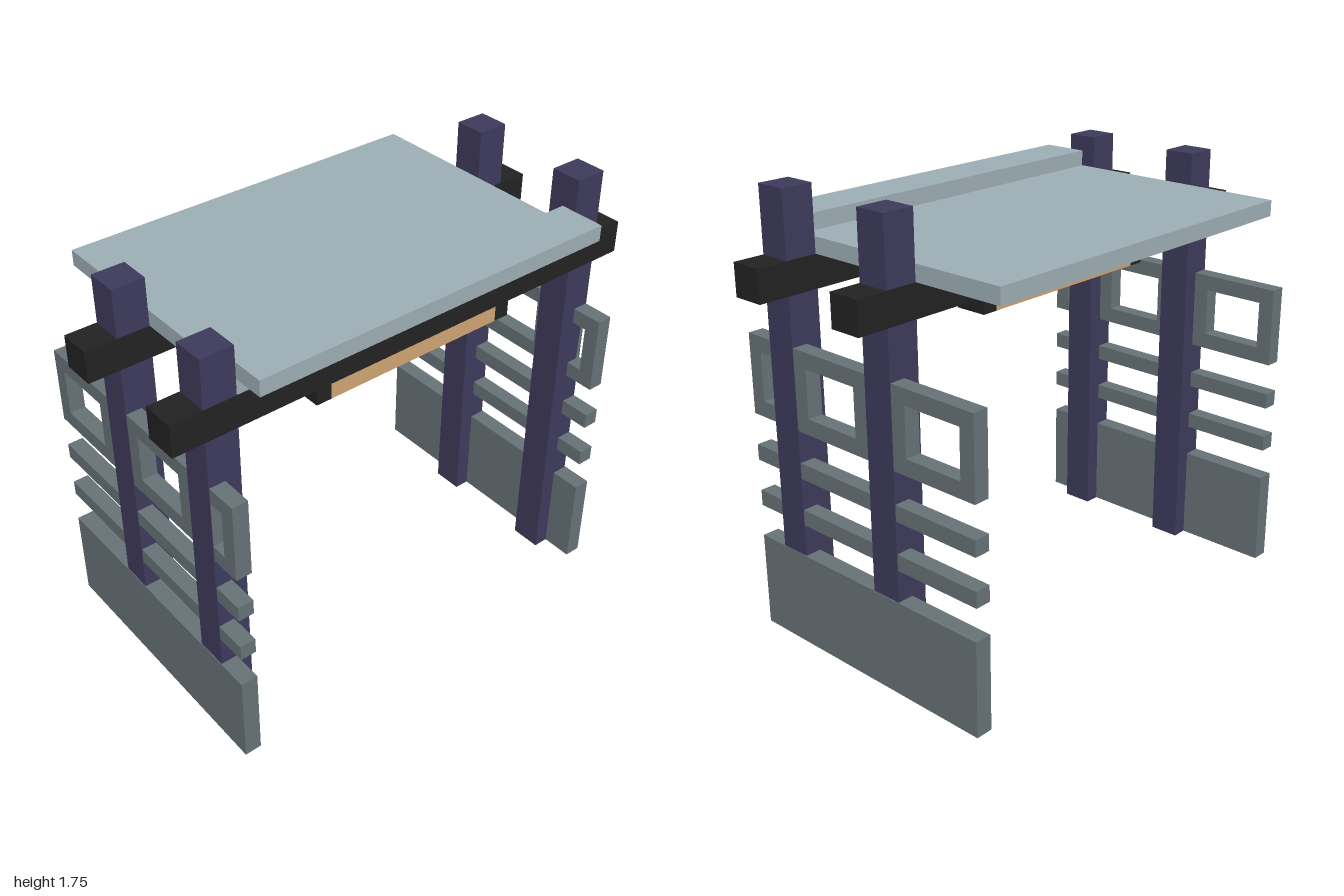
import * as THREE from 'three';

const mat = (name, color) => {
  const m = new THREE.MeshStandardMaterial({ color });
  m.name = name;
  return m;
};

export function createModel() {
  const postWood = mat('purple post', 0x3d3a5b);
  const panelGrey = mat('dark grey panel', 0x667176);
  const roofGrey = mat('pale blue grey roof', 0x9cadb4);
  const black = mat('black beam', 0x222222);
  const tan = mat('tan lamp', 0xcda472);

  const model = new THREE.Group();
  model.name = 'shelter';

  // Box given by its limits on each axis
  const box = (parent, name, material, x0, x1, y0, y1, z0, z1) => {
    const mesh = new THREE.Mesh(new THREE.BoxGeometry(x1 - x0, y1 - y0, z1 - z0), material);
    mesh.position.set((x0 + x1) / 2, (y0 + y1) / 2, (z0 + z1) / 2);
    mesh.name = name;
    parent.add(mesh);
  };

  const postCentres = [-0.125, 0.375];
  const half = 0.5625;

  // Window frame strip with three rectangular openings
  const rect = (path, x0, x1, y0, y1) =>
    path.moveTo(x0, y0).lineTo(x1, y0).lineTo(x1, y1).lineTo(x0, y1).closePath();
  const frameShape = rect(new THREE.Shape(), -half, half, 0.875, 1.1875);
  for (const [x0, x1] of [[-0.5, -0.25], [0, 0.25], [0.4375, 0.5]]) {
    frameShape.holes.push(rect(new THREE.Path(), x0, x1, 0.9375, 1.125));
  }
  const frameGeometry = new THREE.ExtrudeGeometry(frameShape, { depth: 0.0625, bevelEnabled: false });

  // End walls: posts, base panel, slats and window frame
  for (const side of [1, -1]) {
    const wall = new THREE.Group();
    wall.name = side > 0 ? 'frontWall' : 'backWall';
    const span = (a, b) => (side > 0 ? [a, b] : [-b, -a]);
    for (const x of postCentres) {
      box(wall, 'post', postWood, x - 0.0625, x + 0.0625, 0, side > 0 ? 1.6875 : 1.75, ...span(0.75, 0.877));
    }
    box(wall, 'basePanel', panelGrey, -half, half, 0, 0.375, ...span(0.8125, 0.88));
    for (const y of [0.5, 0.6875]) {
      box(wall, 'slat', panelGrey, -half, half, y, y + 0.0625, ...span(0.8125, 0.875));
    }
    const frame = new THREE.Mesh(frameGeometry, panelGrey);
    frame.name = 'windowFrame';
    frame.position.z = span(0.8125, 0.875)[0];
    wall.add(frame);
    model.add(wall);
  }

  // Long beams with a lamp and its end caps underneath
  for (const x of postCentres) {
    const beam = new THREE.Group();
    beam.name = 'beamWithLamp';
    const w = 0.0645;
    box(beam, 'beam', black, x - w, x + w, 1.375, 1.5, -1, 1);
    box(beam, 'lamp', tan, x - 0.0625, x + 0.0625, 1.3125, 1.375, -0.375, 0.375);
    for (const z of [-0.4375, 0.375]) {
      box(beam, 'lampCap', black, x - 0.0625, x + 0.0625, 1.3125, 1.375, z, z + 0.0625);
    }
    model.add(beam);
  }

  // Stepped roof
  box(model, 'roofSlab', roofGrey, -half, 0.4375, 1.5, 1.5625, -0.75, 0.75);
  box(model, 'roofStrip', roofGrey, 0.375, half, 1.5625, 1.625, -0.75, 0.75);

  return model;
}
